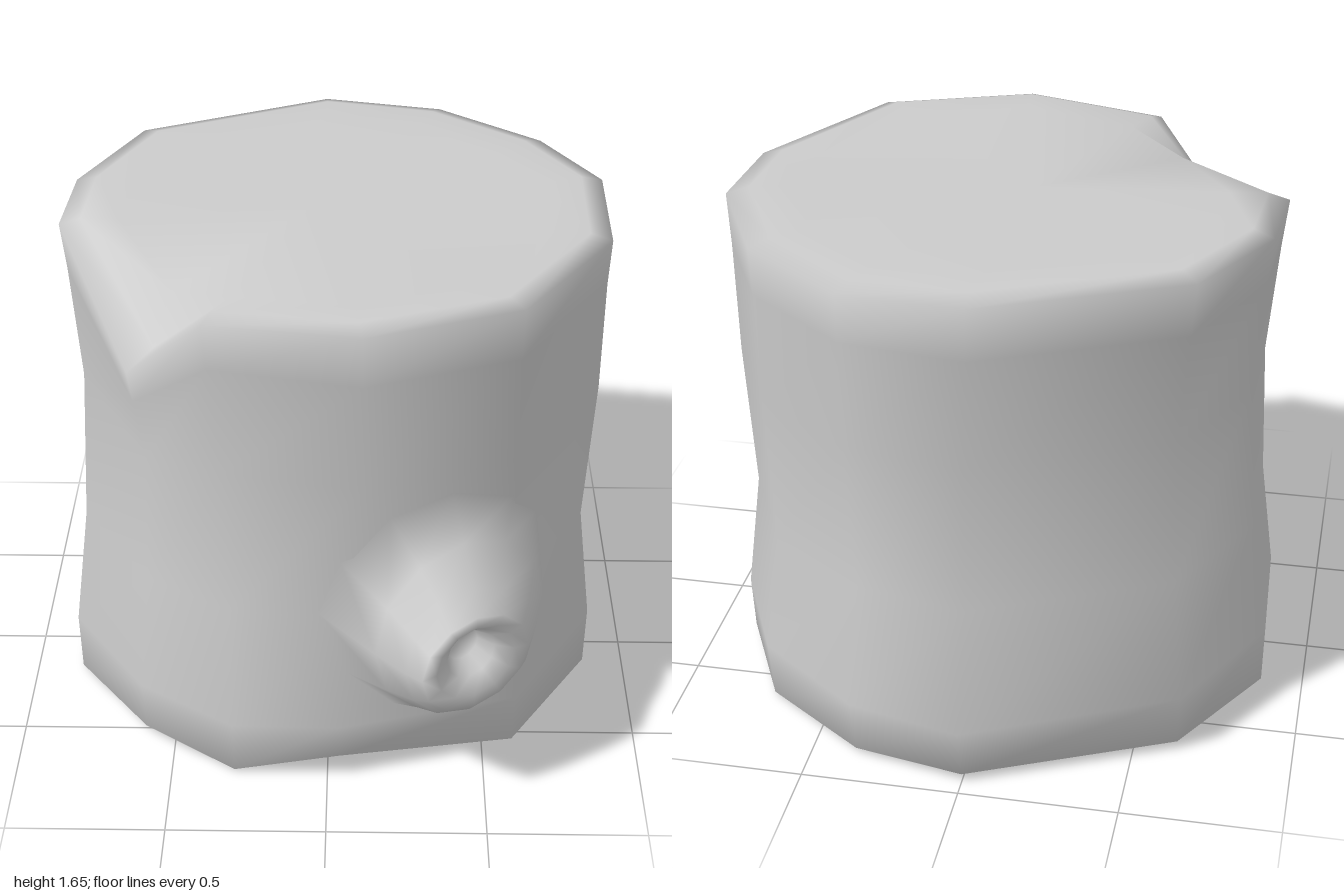
import * as THREE from 'three';

// Joins rings of points into a smooth skin; each given centre closes that end.
function loft(name, rings, endCentre, startCentre) {
  const n = rings[0].length;
  const points = [...rings.flat(), endCentre];
  const end = points.length - 1;
  if (startCentre) points.push(startCentre);
  const last = (rings.length - 1) * n;
  const index = [];
  for (let j = 0; j < n; j++) {
    const k = (j + 1) % n;
    for (let i = 0; i < rings.length - 1; i++) {
      const a = i * n + j, b = i * n + k;
      index.push(a, a + n, b, b, a + n, b + n);
    }
    index.push(end, last + k, last + j);
    if (startCentre) index.push(end + 1, j, k);
  }
  const geometry = new THREE.BufferGeometry();
  geometry.setAttribute('position', new THREE.Float32BufferAttribute(points.flat(), 3));
  geometry.setIndex(index);
  geometry.computeVertexNormals();
  const mesh = new THREE.Mesh(geometry, new THREE.MeshStandardMaterial({ color: 0xcccccc, roughness: 0.9 }));
  mesh.name = name;
  return mesh;
}

// Uneven outlines (x, z) of the trunk, clockwise seen from above, starting at the back
const FOOT = [[0, -1], [0.36, -0.91], [0.7, -0.65], [0.87, -0.28], [0.87, 0.12], [0.6, 0.6],
  [0.04, 0.79], [-0.3, 0.76], [-0.6, 0.56], [-0.85, 0.19], [-0.87, -0.26], [-0.64, -0.69]];
const RIM = [[-0.03, -0.945], [0.36, -0.89], [0.69, -0.63], [0.865, -0.28], [0.865, 0.12], [0.57, 0.61],
  [0.1, 0.79], [-0.36, 0.69], [-0.6, 0.53], [-0.845, 0.04], [-0.825, -0.28], [-0.64, -0.66]];
const CHIP = 8;   // corner broken out of the top rim
const LIFT = 6;   // front corner raised off the ground

function createTrunk() {
  // [height, x scale, z scale, x shift, drop at the chipped corner, rise at the lifted corner]
  const levels = [
    [0.025, 0.7, 0.7, 0, 0, 0.02], [0.02, 0.92, 0.89, 0, 0, 0.05], [0.03, 0.995, 0.945, 0, 0, 0.07],
    [0.23, 1, 1, 0, 0, 0.02], [0.62, 0.95, 0.925, 0, 0, 0], [1.1, 0.963, 0.935, 0.02, 0.04, 0],
    [1.47, 0.985, 0.985, 0.005, 0.2, 0], [1.63, 1, 0.995, 0, 0.27, 0],
    [1.65, 0.92, 0.92, 0, 0.24, 0], [1.645, 0.78, 0.78, 0, 0.07, 0],
  ];
  const rings = levels.map(([y, sx, sz, shift, drop, rise], i) => FOOT.map(([fx, fz], j) => {
    const t = THREE.MathUtils.smoothstep(y, 0.2, 1.4);
    const inset = j === CHIP && i === levels.length - 2 ? 0.95 : 1;
    const wave = i > 6 || i < 3 ? 0.012 * Math.sin(j * 2.4 + 1) : 0;
    return [
      THREE.MathUtils.lerp(fx, RIM[j][0], t) * sx * inset + shift,
      Math.max(0, y + wave - (j === CHIP ? drop : 0) + (j === LIFT ? rise : 0)),
      THREE.MathUtils.lerp(fz, RIM[j][1], t) * sz * inset,
    ];
  }));
  return loft('trunk', rings, [-0.06, 1.645, -0.06], [0, 0.025, 0]);
}

function createBranchStub(trunk) {
  const axis = new THREE.Vector3(0.51, 0, 0.86).normalize();
  // Ring centre, half width and half height, from the trunk's surface to the hollow tip
  const sections = [
    [0.38, 0.64, 0.64, 0.39, 0.39], [0.41, 0.61, 0.73, 0.305, 0.3], [0.44, 0.58, 0.82, 0.235, 0.225],
    [0.45, 0.59, 0.895, 0.19, 0.165], [0.45, 0.605, 0.91, 0.14, 0.125],
    [0.435, 0.615, 0.88, 0.085, 0.085], [0.41, 0.615, 0.83, 0.055, 0.055],
  ];
  const sides = 12;
  const rings = sections.map(([x, y, z, w, h]) => Array.from({ length: sides }, (_, j) => {
    const angle = (j / sides) * Math.PI * 2;
    const across = Math.cos(angle) * w;
    return [x + across * axis.z, y - Math.sin(angle) * h, z - across * axis.x];
  }));

  // The base ring lies on the trunk and takes over its normals, so both flow together
  const back = axis.clone().negate();
  const baseNormals = [];
  rings[0].forEach((point, j) => {
    const origin = new THREE.Vector3(...point).addScaledVector(axis, 1);
    const hit = new THREE.Raycaster(origin, back).intersectObject(trunk)[0];
    rings[0][j] = hit.point.toArray();
    baseNormals.push(hit.normal);
  });
  const stub = loft('branchStub', rings, [0.4, 0.615, 0.825]);
  baseNormals.forEach((normal, j) => stub.geometry.attributes.normal.setXYZ(j, ...normal));
  return stub;
}

export function createModel() {
  const model = new THREE.Group();
  model.name = 'treeStump';
  const trunk = createTrunk();
  model.add(trunk, createBranchStub(trunk));
  return model;
}
